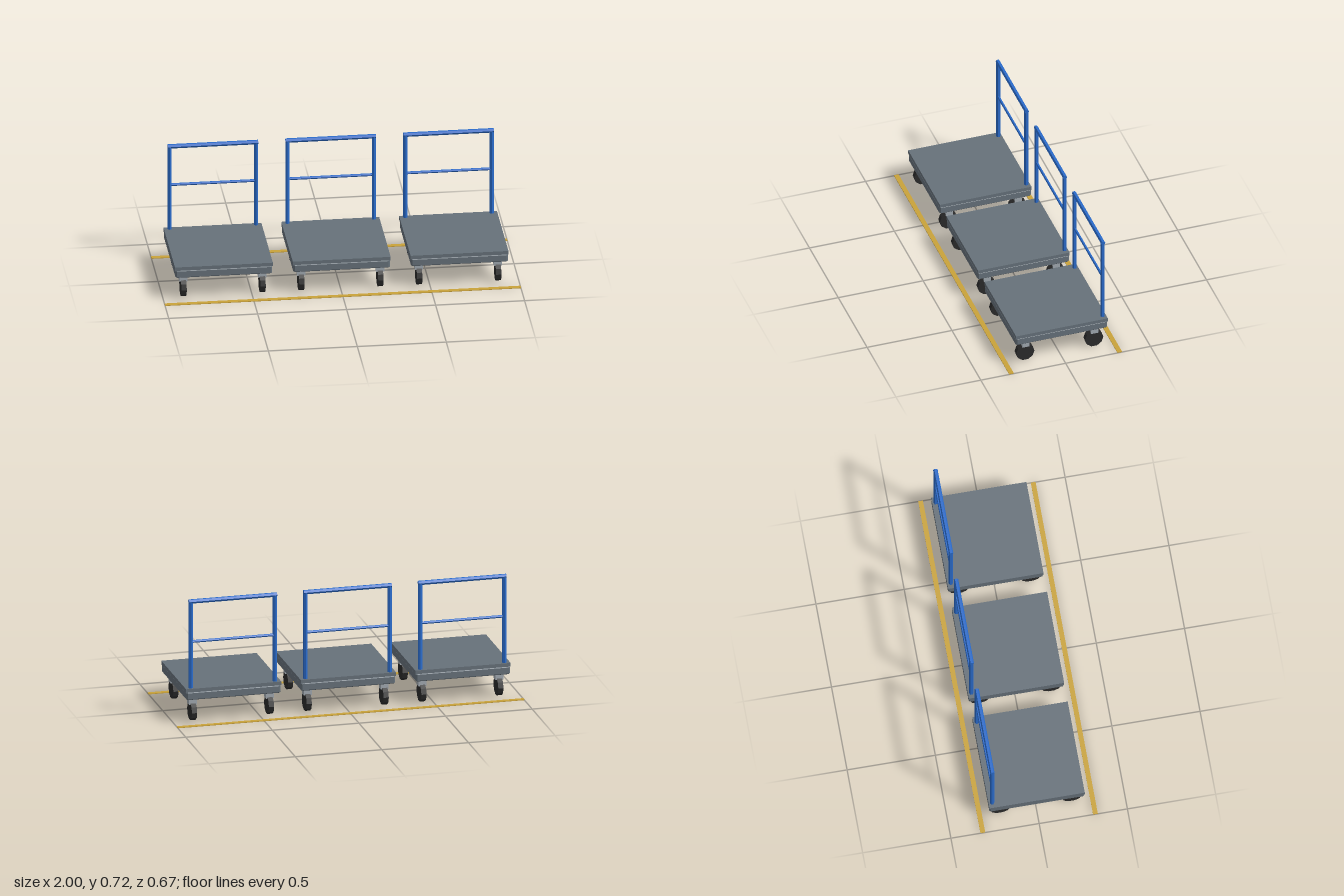
import * as THREE from 'three';

export function createModel() {
  const mat = (name, color) => {
    const m = new THREE.MeshStandardMaterial({ color, flatShading: true });
    m.name = name;
    return m;
  };
  const grey = mat('steelGrey', 0x66717a);
  const blue = mat('handleBlue', 0x2a6bcb);
  const silver = mat('bracketSilver', 0xa0a8b0);
  const black = mat('tyreBlack', 0x2b2b2b);
  const yellow = mat('lineYellow', 0xc9a23a);

  const add = (parent, name, geo, material, x, y, z) => {
    const mesh = new THREE.Mesh(geo, material);
    mesh.name = name;
    mesh.position.set(x, y, z);
    parent.add(mesh);
    return mesh;
  };

  // Box with all edges chamfered by c: cut-corner plan, bevelled upwards
  const chamferBox = (w, h, d, c) => {
    const a = w / 2 - c, b = d / 2 - c, k = c;
    const shape = new THREE.Shape([
      [a - k, -b], [a, -b + k], [a, b - k], [a - k, b],
      [-a + k, b], [-a, b - k], [-a, -b + k], [-a + k, -b],
    ].map(([x, y]) => new THREE.Vector2(x, y)));
    const geo = new THREE.ExtrudeGeometry(shape, {
      depth: h - 2 * c, bevelEnabled: true, bevelThickness: c, bevelSize: c, bevelSegments: 1,
    });
    return geo.translate(0, 0, c - h / 2).rotateX(-Math.PI / 2);
  };

  const deckGeo = new THREE.BoxGeometry(0.55, 0.021, 0.54);
  const frameGeo = chamferBox(0.544, 0.045, 0.54, 0.005);
  const postGeo = new THREE.CylinderGeometry(0.0127, 0.0127, 0.512, 6);
  const topBarGeo = new THREE.CylinderGeometry(0.0127, 0.0127, 0.508, 6).rotateZ(Math.PI / 2);
  const midBarGeo = new THREE.CylinderGeometry(0.008, 0.008, 0.486, 6).rotateZ(Math.PI / 2);
  const bracketGeo = new THREE.BoxGeometry(0.046, 0.044, 0.042);
  // Ten-sided wheel with a flat at the bottom
  const wheelGeo = new THREE.CylinderGeometry(0.0535, 0.0535, 0.03, 10).rotateZ(Math.PI / 2);

  const createCart = () => {
    const cart = new THREE.Group();
    cart.name = 'platformCart';
    add(cart, 'deck', deckGeo, grey, 0, 0.1935, 0);
    add(cart, 'frame', frameGeo, grey, 0, 0.1605, 0);
    // Push handle at the back
    for (const s of [-1, 1]) add(cart, 'handlePost', postGeo, blue, s * 0.243, 0.454, -0.25);
    add(cart, 'handleTopBar', topBarGeo, blue, 0, 0.71, -0.25);
    add(cart, 'handleMiddleBar', midBarGeo, blue, 0, 0.475, -0.25);
    // Casters at the four corners
    for (const sx of [-1, 1]) for (const sz of [-1, 1]) {
      add(cart, 'casterBracket', bracketGeo, silver, sx * 0.222, 0.117, sz * 0.203);
      add(cart, 'casterWheel', wheelGeo, black, sx * 0.222, 0.055, sz * 0.203);
    }
    return cart;
  };

  const group = new THREE.Group();
  group.name = 'cartRow';
  for (const i of [-1, 0, 1]) {
    const cart = createCart();
    cart.position.x = i * 0.662;
    group.add(cart);
  }

  // Floor lines along both sides of the row
  const lineGeo = new THREE.BoxGeometry(2, 0.004, 0.027);
  for (const s of [-1, 1]) add(group, 'floorLine', lineGeo, yellow, 0, 0.002, s * 0.319);
  return group;
}
